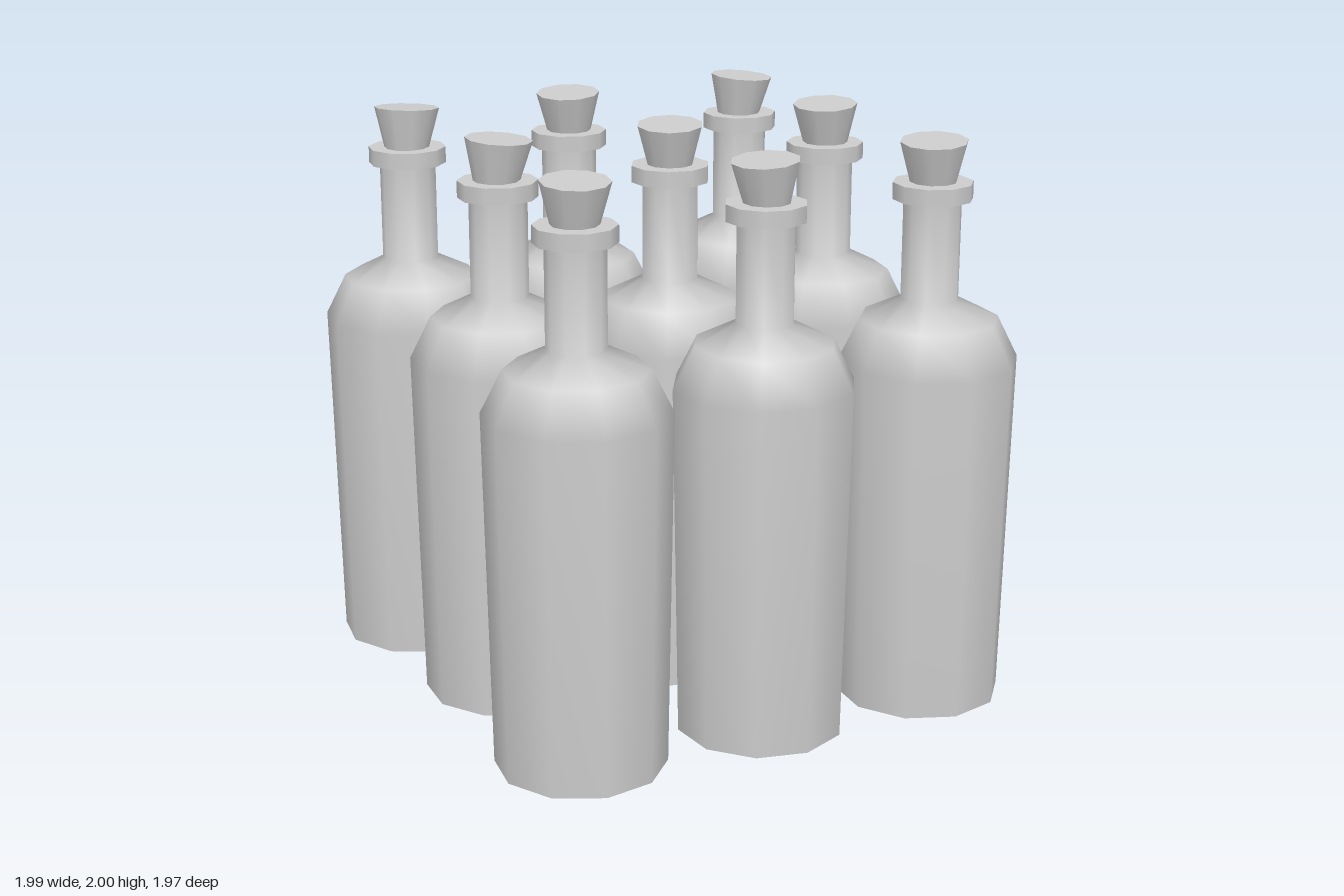
import * as THREE from 'three';

const SIDES = 10;
const material = new THREE.MeshStandardMaterial({ color: 0xcccccc });

// Bottle wall from base to mouth: [radius, height]
const wall = [[0.292, 0], [0.313, 1.23], [0.24, 1.375], [0.1, 1.445], [0.1, 1.82]]
  .map(([r, y]) => new THREE.Vector2(r, y));
const bodyGeo = new THREE.LatheGeometry(wall, SIDES);
const baseGeo = new THREE.CylinderGeometry(0.292, 0.292, 0.002, SIDES);
const lipGeo = new THREE.CylinderGeometry(0.138, 0.138, 0.058, SIDES);
const corkGeo = new THREE.CylinderGeometry(0.116, 0.073, 0.17, SIDES);

function part(name, geometry, y = 0) {
  const mesh = new THREE.Mesh(geometry, material);
  mesh.name = name;
  mesh.position.y = y;
  return mesh;
}

function bottle(x, z, degrees) {
  const group = new THREE.Group();
  group.name = 'bottle';
  // Cork sits slightly crooked in the mouth
  const cork = part('cork', corkGeo, 1.905);
  cork.rotation.x = THREE.MathUtils.degToRad(4.5);
  group.add(
    part('body', bodyGeo),
    part('base', baseGeo, 0.001),
    part('lip', lipGeo, 1.82),
    cork
  );
  group.position.set(x, 0, z);
  group.rotation.y = THREE.MathUtils.degToRad(degrees);
  return group;
}

export function createModel() {
  const model = new THREE.Group();
  model.name = 'bottles';
  // Loose three by three grid: x, z, spin in degrees
  const places = [
    [-0.686, -0.683, 134], [-0.045, -0.68, -42], [0.682, -0.682, 69],
    [-0.62, -0.035, 67], [0.013, 0.013, -30], [0.683, -0.055, -48],
    [-0.66, 0.65, -9], [0.02, 0.668, -68], [0.668, 0.668, -41]
  ];
  for (const [x, z, spin] of places) model.add(bottle(x, z, spin));
  return model;
}
